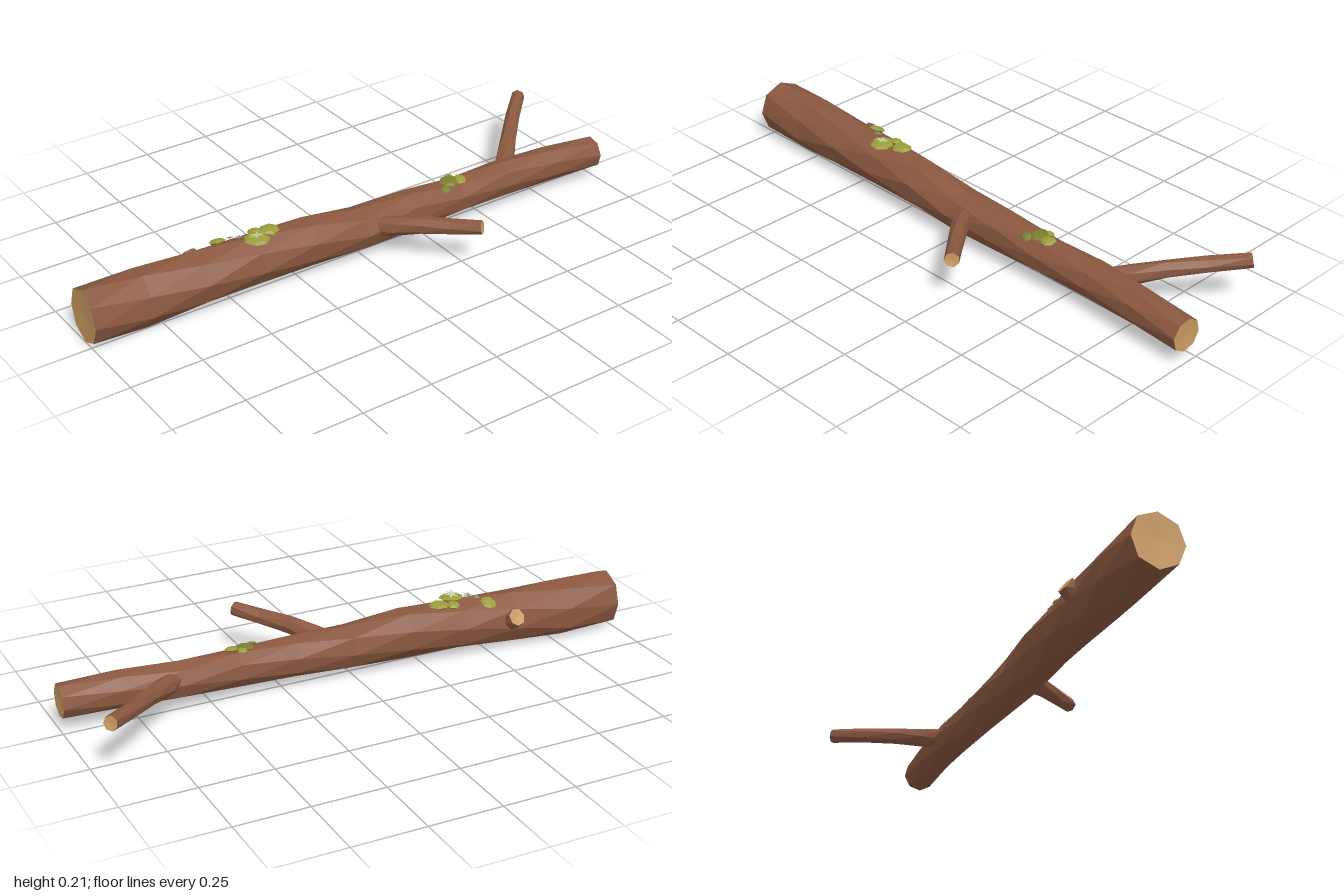
import * as THREE from 'three';

const paint = (name, color, extra = {}) => {
  const m = new THREE.MeshStandardMaterial({ color, flatShading: true, ...extra });
  m.name = name;
  return m;
};

// Small seeded generator for the bumps in the bark
function seeded(seed) {
  let s = seed;
  return () => (s = (s * 16807) % 2147483647) / 2147483647;
}

// Triangle list to flat-shaded mesh
function facets(name, tris, material) {
  const g = new THREE.BufferGeometry().setFromPoints(tris);
  g.computeVertexNormals();
  const mesh = new THREE.Mesh(g, material);
  mesh.name = name;
  return mesh;
}

// Faceted limb through rings [x, y, z, radius], closed by cut wood at its ends
function limb(name, rings, { sides, twist, bump, seed, bark, wood, dent = 0.003 }) {
  const rand = seeded(seed);
  const centers = rings.map(([x, y, z]) => new THREE.Vector3(x, y, z));
  const axis = centers.at(-1).clone().sub(centers[0]).normalize();
  const side = new THREE.Vector3().crossVectors(axis, new THREE.Vector3(0, 1, 0)).normalize();
  const down = new THREE.Vector3().crossVectors(axis, side);
  const loops = rings.map((ring, i) => Array.from({ length: sides }, (_, j) => {
    const a = (j / sides) * Math.PI * 2 + i * twist;
    const r = ring[3] * (1 + (rand() - 0.5) * bump);
    return centers[i].clone().addScaledVector(side, Math.cos(a) * r).addScaledVector(down, Math.sin(a) * r);
  }));
  const skin = [], start = [], end = [];
  const first = centers[0].clone().addScaledVector(axis, dent);
  const last = centers.at(-1).clone().addScaledVector(axis, -dent);
  for (let j = 0; j < sides; j++) {
    const k = (j + 1) % sides;
    for (let i = 0; i < loops.length - 1; i++) {
      const [a, b, c, d] = [loops[i][j], loops[i][k], loops[i + 1][k], loops[i + 1][j]];
      skin.push(a, b, d, b, c, d);
    }
    start.push(first, loops[0][k], loops[0][j]);
    end.push(last, loops.at(-1)[j], loops.at(-1)[k]);
  }
  const group = new THREE.Group();
  group.name = name;
  group.add(facets(name + 'Bark', skin, bark), facets(name + 'StartCut', start, wood), facets(name + 'EndCut', end, wood));
  return group;
}

// Flat low-poly cushion of moss
function cushion(name, [x, y, z, r, h, tilt], material) {
  const mesh = new THREE.Mesh(new THREE.SphereGeometry(1, 7, 4), material);
  mesh.name = name;
  mesh.scale.set(r, h, r * 0.92);
  mesh.position.set(x, y, z);
  mesh.rotation.set(tilt, x * 9, 0);
  return mesh;
}

// Thin star-shaped rosette
function rosette(name, [x, y, z, r], material) {
  const shape = new THREE.Shape(Array.from({ length: 12 }, (_, i) => {
    const a = (i / 12) * Math.PI * 2, d = i % 2 ? r * 0.35 : r;
    return new THREE.Vector2(Math.cos(a) * d, Math.sin(a) * d);
  }));
  const mesh = new THREE.Mesh(new THREE.ShapeGeometry(shape), material);
  mesh.name = name;
  mesh.position.set(x, y, z);
  mesh.rotation.x = -Math.PI / 2 - 0.2;
  return mesh;
}

export function createModel() {
  const bark = paint('bark brown', 0x8a5840);
  const wood = paint('cut wood tan', 0xc99a62);
  const moss = paint('moss green', 0x9a9c3a);
  const darkMoss = paint('dark moss green', 0x7b7f2e);
  const lichen = paint('pale lichen', 0xc9d0a4, { side: THREE.DoubleSide });
  const greyLichen = paint('grey lichen', 0x8e917c, { side: THREE.DoubleSide });

  const model = new THREE.Group();
  model.name = 'fallenLog';

  // Tapering trunk lying along x
  model.add(limb('trunk', [
    [-1, 0.1, -0.04, 0.093], [-0.8, 0.096, -0.042, 0.095], [-0.6, 0.102, -0.03, 0.091],
    [-0.4, 0.107, -0.02, 0.085], [-0.2, 0.107, -0.008, 0.083], [0, 0.098, 0.005, 0.076],
    [0.2, 0.103, 0.008, 0.071], [0.4, 0.1, 0.012, 0.064], [0.6, 0.103, 0.015, 0.063],
    [0.8, 0.105, 0.027, 0.061], [0.993, 0.1, 0.043, 0.057],
  ], { sides: 8, twist: 0.3, bump: 0.08, seed: 17, bark, wood, dent: 0.004 }));

  // Two side branches and a cut stub
  const twig = { sides: 7, twist: 0.25, bump: 0.1, bark, wood };
  model.add(
    limb('frontBranch', [
      [0.045, 0.108, 0.04, 0.034], [0.085, 0.122, 0.095, 0.034], [0.14, 0.139, 0.16, 0.031],
      [0.21, 0.15, 0.245, 0.027], [0.275, 0.163, 0.322, 0.025],
    ], { ...twig, seed: 5 }),
    limb('backBranch', [
      [0.635, 0.112, -0.015, 0.034], [0.68, 0.122, -0.06, 0.034], [0.76, 0.145, -0.14, 0.029],
      [0.85, 0.163, -0.23, 0.027], [0.95, 0.183, -0.322, 0.025],
    ], { ...twig, seed: 11 }),
    limb('stub', [
      [-0.575, 0.105, -0.085, 0.034], [-0.578, 0.12, -0.108, 0.033], [-0.58, 0.135, -0.128, 0.031],
    ], { ...twig, seed: 23 }),
  );

  // Moss cushions on the upper side
  [
    [-0.395, 0.194, 0.006, 0.044, 0.01, 0.1], [-0.33, 0.19, -0.026, 0.037, 0.011, 0],
    [-0.375, 0.19, -0.045, 0.024, 0.009, -0.2], [-0.5, 0.183, -0.068, 0.03, 0.009, -0.4],
  ].forEach((p, i) => model.add(cushion('moss' + (i + 1), p, moss)));
  [
    [0.37, 0.165, 0.018, 0.036, 0.008, 0.1], [0.41, 0.163, 0.025, 0.026, 0.008, 0.2],
    [0.335, 0.156, 0.048, 0.02, 0.008, 0.5], [0.385, 0.166, -0.005, 0.018, 0.007, -0.1],
  ].forEach((p, i) => model.add(cushion('smallMoss' + (i + 1), p, i % 2 ? moss : darkMoss)));

  // Thin lichen rosettes
  model.add(rosette('paleRosette', [-0.395, 0.208, 0.005, 0.03], lichen));
  [[-0.445, 0.204, -0.022, 0.02], [-0.468, 0.2, -0.042, 0.016]]
    .forEach((p, i) => model.add(rosette('greyRosette' + (i + 1), p, greyLichen)));

  return model;
}
